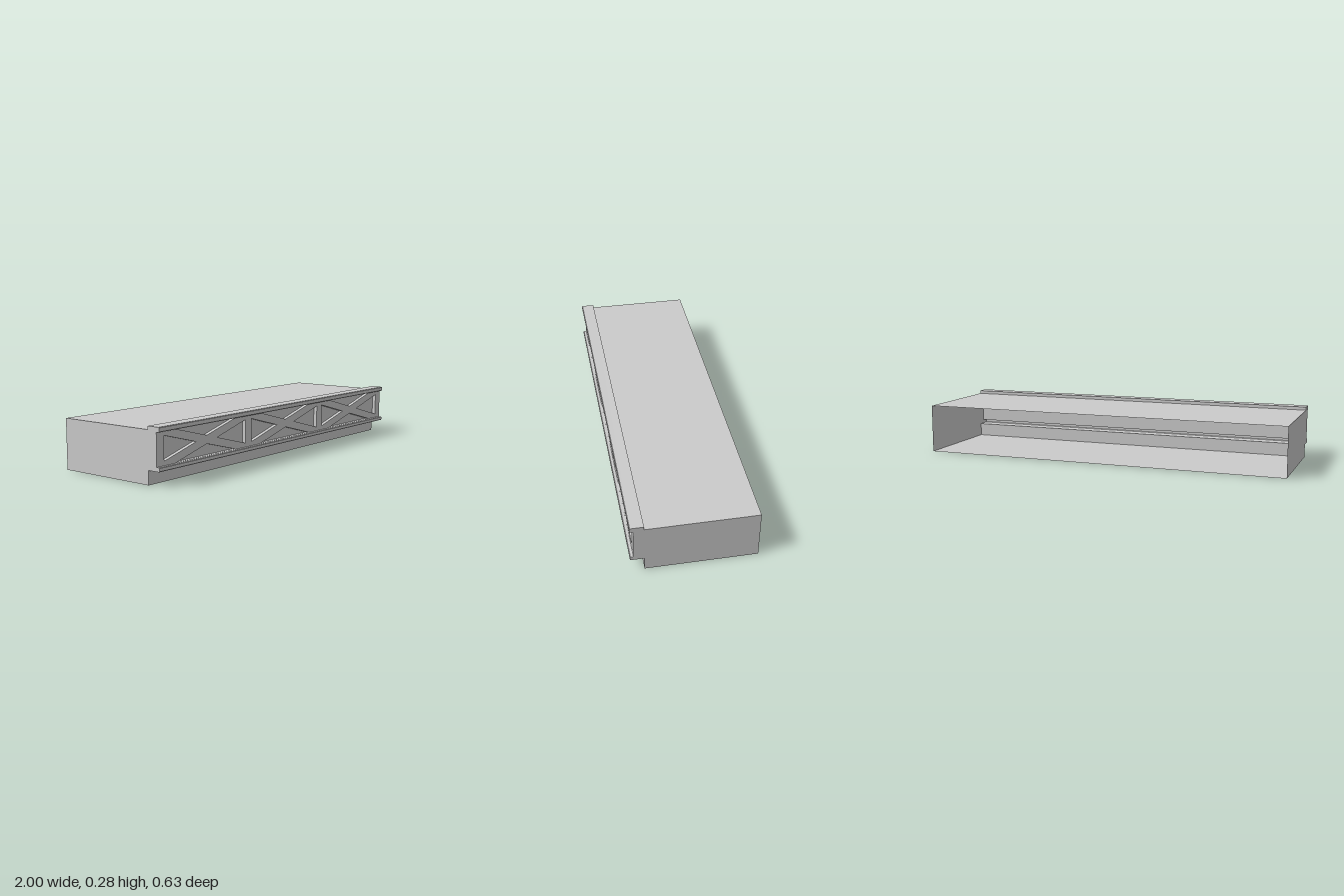
import * as THREE from 'three';

const material = new THREE.MeshStandardMaterial({ color: 0xcccccc, flatShading: true, side: THREE.DoubleSide });

// Cross-section as [z, y], from the top back edge round the front to the bottom back edge
const railLip = (bottom, top) => [
  [0.312, top], [0.315, top - 0.003], [0.315, bottom + 0.003], [0.312, bottom],
];
const PANEL_Z = 0.278, FRONT_Z = 0.298, LOW = 0.091, HIGH = 0.253;
const profile = [
  [-0.315, 0.26], [0.245, 0.26], [0.245, 0.277],
  ...railLip(HIGH, 0.277),
  [PANEL_Z, HIGH], [PANEL_Z, LOW],
  ...railLip(0.07, LOW),
  [0.245, 0.07], [0.245, 0], [-0.315, 0],
];

// Sweep the open profile along x; the back stays open
function sweptShell() {
  const positions = [];
  for (let i = 0; i < profile.length - 1; i++) {
    const [z0, y0] = profile[i], [z1, y1] = profile[i + 1];
    const a = [-1, y0, z0], b = [-1, y1, z1], c = [1, y1, z1], d = [1, y0, z0];
    positions.push(...a, ...b, ...c, ...a, ...c, ...d);
  }
  const geometry = new THREE.BufferGeometry();
  geometry.setAttribute('position', new THREE.Float32BufferAttribute(positions, 3));
  geometry.computeVertexNormals();
  return geometry;
}

// Flat end wall in the shape of the profile
function endWall(side) {
  const shape = new THREE.Shape(profile.map(([z, y]) => new THREE.Vector2(-side * z, y)));
  return new THREE.ShapeGeometry(shape).rotateY(side * Math.PI / 2).translate(side, 0, 0);
}

// Front frame: three bays, each with four triangular openings around an X brace
function trussFrame() {
  const frame = new THREE.Shape([
    new THREE.Vector2(-1, LOW), new THREE.Vector2(1, LOW),
    new THREE.Vector2(1, HIGH), new THREE.Vector2(-1, HIGH),
  ]);
  const halfW = 0.3, halfH = (HIGH - LOW) / 2, midY = (HIGH + LOW) / 2;
  const barV = 0.021, barH = barV * halfW / halfH, edge = 0.001;
  for (const x of [-0.65, 0, 0.65]) {
    for (const s of [-1, 1]) {
      const sideHole = [[s * halfW, halfH - barV], [s * halfW, barV - halfH], [s * barH, 0]];
      const railHole = [[halfW - barH, s * (halfH - edge)], [barH - halfW, s * (halfH - edge)], [0, s * barV]];
      for (const hole of [sideHole, railHole]) {
        frame.holes.push(new THREE.Path(hole.map(([px, py]) => new THREE.Vector2(x + px, midY + py))));
      }
    }
  }
  return new THREE.ExtrudeGeometry(frame, { depth: FRONT_Z - PANEL_Z, bevelEnabled: false })
    .translate(0, 0, PANEL_Z);
}

export function createModel() {
  const group = new THREE.Group();
  group.name = 'trussFrontedPlatform';
  const add = (name, geometry) => {
    const mesh = new THREE.Mesh(geometry, material);
    mesh.name = name;
    group.add(mesh);
  };
  add('shellWithRails', sweptShell());
  add('leftEndWall', endWall(1));
  add('rightEndWall', endWall(-1));
  add('crossBracedFront', trussFrame());
  return group;
}
